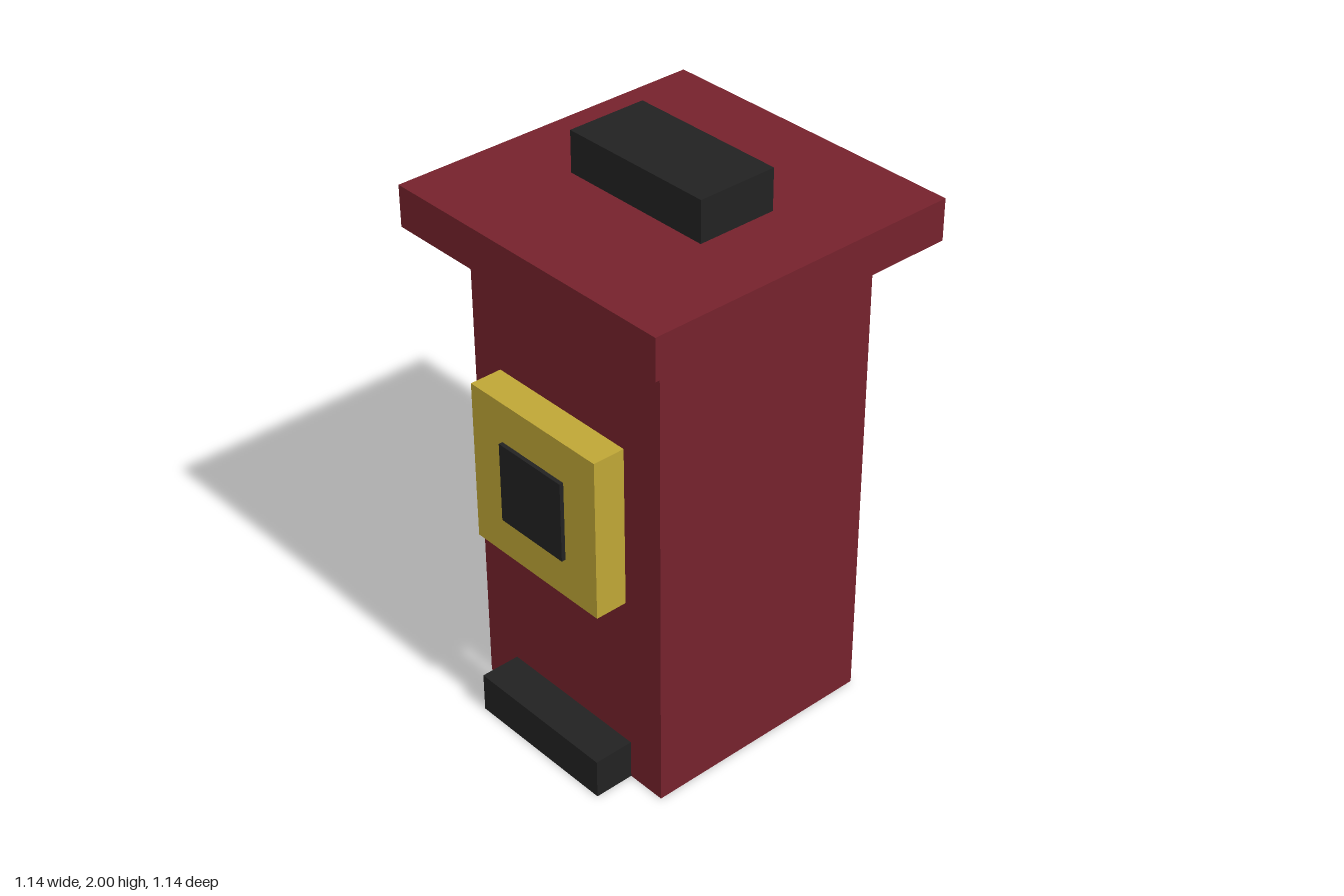
import * as THREE from 'three';

const U = 1 / 7; // every part sits on a grid of this unit

export function createModel() {
  const group = new THREE.Group();
  const material = (name, color) => {
    const m = new THREE.MeshStandardMaterial({ color, side: THREE.DoubleSide });
    m.name = name;
    return m;
  };
  const red = material('dark red', 0x75222c);
  const yellow = material('mustard yellow', 0xbfa636);
  const black = material('charcoal', 0x222222);

  // Box given by size and by base height and centre depth, in grid units
  function box(name, mat, [w, h, d], y, z, openBottom = false) {
    const geo = new THREE.BoxGeometry(w * U, h * U, d * U);
    if (openBottom) {
      // the fourth face of a box is its underside
      const index = Array.from(geo.index.array);
      index.splice(18, 6);
      geo.setIndex(index);
      geo.clearGroups();
    }
    const mesh = new THREE.Mesh(geo, mat);
    mesh.name = name;
    mesh.position.set(0, (y + h / 2) * U, z * U);
    group.add(mesh);
  }

  // Hollow-bottomed post and its front step
  box('body', red, [6, 12, 6], 0, 0, true);
  box('frontStep', black, [4, 1, 1], 0, 3.5, true);

  // Overhanging lid with a block on top
  box('lid', red, [8, 1, 8], 12, 0);
  box('topBlock', black, [4, 1, 2], 13, 0);

  // Square plate held off the front by a central peg
  box('frontPlate', yellow, [4, 4, 0.8], 5, 3.5);
  box('platePeg', black, [2, 2, 1], 6, 3.5);

  return group;
}
